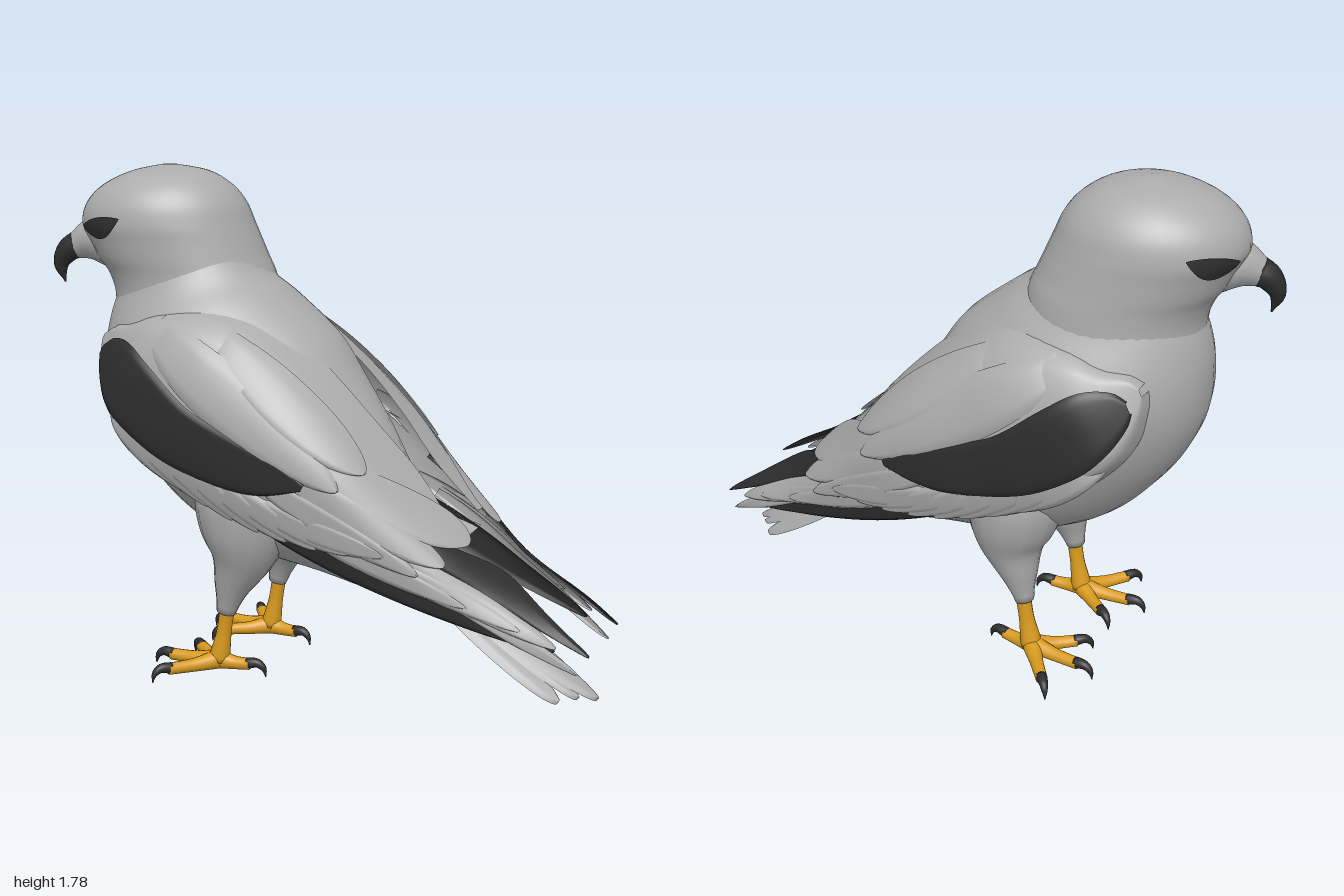
import * as THREE from 'three';

const mat = (name, color) => {
  const m = new THREE.MeshStandardMaterial({ color, side: THREE.DoubleSide });
  m.name = name;
  return m;
};
const V = (x, y, z) => new THREE.Vector3(x, y, z);

// Smooth interpolation through rows of numbers, s = 0..1
function rowAt(rows, s) {
  const n = rows.length - 1, k = Math.min(Math.max(s, 0), 1) * n;
  const i = Math.min(Math.floor(k), n - 1), f = k - i;
  const r = j => rows[Math.min(Math.max(j, 0), n)];
  return rows[0].map((_, c) => {
    const a = r(i - 1)[c], b = r(i)[c], d = r(i + 1)[c], e = r(i + 2)[c];
    return b + 0.5 * f * (d - a + f * (2 * a - 5 * b + 4 * d - e + f * (3 * (b - d) + e - a)));
  });
}

// Grid of points fn(s, t); wrapped grids are tubes with closed ends
function grid(name, material, ns, nt, fn, wrap = false) {
  const rows = [];
  for (let i = 0; i <= ns; i++) {
    const row = [];
    for (let j = 0; j < (wrap ? nt : nt + 1); j++) row.push(fn(i / ns, j / nt));
    rows.push(row);
  }
  if (wrap) {
    const cap = row => {
      const c = V(0, 0, 0);
      row.forEach(p => c.addScaledVector(p, 1 / row.length));
      return row.map(() => c);
    };
    rows.unshift(cap(rows[0]));
    rows.push(cap(rows[rows.length - 1]));
  }
  const w = rows[0].length, index = [];
  for (let i = 0; i < rows.length - 1; i++) {
    for (let j = 0; j < nt; j++) {
      const a = i * w + j, b = i * w + (j + 1) % w;
      index.push(a, b, a + w, b, b + w, a + w);
    }
  }
  const g = new THREE.BufferGeometry().setFromPoints(rows.flat());
  g.setIndex(index);
  g.computeVertexNormals();
  const mesh = new THREE.Mesh(g, material);
  mesh.name = name;
  return mesh;
}

// Point on a loft whose rows are [backX, backY, frontX, frontY, halfWidth]
function loftPoint(rows, s, angle, grow = 0) {
  const [bx, by, fx, fy, w] = rowAt(rows, s), c = Math.cos(angle);
  return V((bx + fx) / 2 + c * ((bx - fx) / 2 + grow), (by + fy) / 2 + c * (by - fy) / 2,
    (w + grow) * Math.sin(angle));
}
const loft = (name, material, rows) =>
  grid(name, material, 48, 40, (s, t) => loftPoint(rows, s, t * Math.PI * 2), true);

// Round tapering limb through points
function limb(name, material, points, radii, n = 14) {
  const curve = new THREE.CatmullRomCurve3(points.map(p => V(...p)));
  const frames = curve.computeFrenetFrames(n);
  return grid(name, material, n, 14, (s, t) => {
    const i = Math.round(s * n), r = rowAt(radii.map(q => [q]), s)[0], a = t * Math.PI * 2;
    return curve.getPointAt(s).addScaledVector(frames.normals[i], r * Math.cos(a))
      .addScaledVector(frames.binormals[i], r * Math.sin(a));
  }, true);
}

// Folded wing surface: u runs from shoulder to tip, v across towards the back.
// Rows are [half width, upper radius, v of the widest line]
const WING = [[.27, .38, 0], [.39, .42, .02], [.425, .45, .05], [.43, .38, .08], [.43, .31, .1],
  [.41, .24, .1], [.375, .2, .06], [.335, .18, .02], [.295, .17, -.02], [.255, .17, -.02],
  [.2, .2, -.02]];
function wingPoint(u, v, off, side) {
  const [w, r, mid] = rowAt(WING, (u + 0.1) / 2), d = v - mid;
  const z = w * Math.sqrt(Math.max(0.08, 1 - Math.abs(d / (d > 0 ? r : 0.52)) ** 2.4));
  return V(-0.7 + 0.877 * u + 0.48 * v, 1.1 - 0.48 * u + 0.877 * v, side * (z + off));
}
// Tail surface: u runs to the tip, v across
const tailPoint = (u, v, off) =>
  V(0.2 + 0.82 * u + 0.57 * off, 0.6 - 0.57 * u + 0.82 * off - 3 * v * v, v);

const edge = t => Math.abs(2 * t - 1) ** 12;

// Panel on the wing, rows are [u, vLow, vHigh]
function panel(name, material, rows, off, drop, side) {
  return grid(name, material, 40, 20, (s, t) => {
    const [u, lo, hi] = rowAt(rows, s);
    return wingPoint(u, lo + (hi - lo) * t, off - drop * edge(t), side);
  });
}

// Feather from [u0, v0] to [u1, v1], its root sunk into the surface; a lower blunt value rounds the tip
function feather(name, material, [u0, v0, u1, v1], width, off, surface, blunt = 0.6) {
  const len = Math.hypot(u1 - u0, v1 - v0), du = (u1 - u0) / len, dv = (v1 - v0) / len;
  return grid(name, material, 32, 8, (q, t) => {
    const s = Math.sin(q * Math.PI / 2);
    const w = width * Math.pow(Math.max(0, Math.sin(Math.PI * (0.1 + 0.9 * s))), blunt) * (2 * t - 1);
    return surface(u0 + du * len * s - dv * w, v0 + dv * len * s + du * w,
      off - 0.012 * edge(t) - 0.035 * (1 - s) ** 8);
  });
}

export function createModel() {
  const grey = mat('greyPlumage', 0xacacac);
  const dark = mat('darkPlumage', 0x2d2d2d);
  const yellow = mat('yellowSkin', 0xd89a1e);
  const model = new THREE.Group();
  model.name = 'perchedRaptor';

  // Body from neck to rump
  model.add(loft('body', grey, [
    [-.32, 1.56, -.74, 1.44, .2], [-.25, 1.43, -.82, 1.27, .26], [-.14, 1.345, -.84, 1.1, .33],
    [.02, 1.21, -.81, .94, .36], [.12, 1.07, -.71, .76, .35], [.22, .92, -.53, .57, .31],
    [.32, .75, -.26, .43, .24], [.45, .54, 0, .38, .18], [.62, .37, .3, .31, .12],
    [.74, .24, .64, .22, .04]]));

  // Head, turned a little to its own left
  const head = new THREE.Group();
  head.name = 'head';
  head.position.x = -0.55;
  head.rotation.y = 0.32;
  const headRows = [[.31, 1.2, -.27, 1.2, .27], [.33, 1.32, -.255, 1.32, .255],
    [.32, 1.4, -.275, 1.4, .25], [.295, 1.46, -.315, 1.46, .25], [.27, 1.52, -.345, 1.52, .25],
    [.245, 1.58, -.37, 1.58, .25], [.215, 1.65, -.35, 1.65, .235], [.165, 1.71, -.29, 1.71, .195],
    [.085, 1.757, -.19, 1.757, .125], [-.03, 1.78, -.08, 1.78, .02]];
  head.add(loft('skull', grey, headRows));
  head.add(limb('beakBase', grey, [[-.23, 1.52, 0], [-.34, 1.512, 0], [-.42, 1.483, 0]], [.12, .085, .042]));
  head.add(limb('beakHook', dark,
    [[-.395, 1.495, 0], [-.43, 1.475, 0], [-.46, 1.425, 0], [-.447, 1.36, 0]], [.049, .04, .024, .003]));
  for (const side of [1, -1]) {
    // Eye patch: straight brow above, rounded below, rising to the back
    head.add(grid('eyePatch', dark, 20, 8, (s, t) => {
      const h = 1.15 * Math.sin(Math.PI * s) ** 0.8, mid = 4.85 + 0.5 * s;
      return loftPoint(headRows, (mid + h * (t - 0.78)) / 9, side * (2.68 - 0.72 * s), 0.006);
    }));
  }
  model.add(head);

  for (const side of [1, -1]) {
    // Folded wing
    const wing = new THREE.Group();
    wing.name = side > 0 ? 'leftWing' : 'rightWing';
    const onWing = (u, v, off) => wingPoint(u, v, off, side);
    const add = (name, m, line, width, off) => wing.add(feather(name, m, line, width, off, onWing));
    wing.add(panel('wingBase', grey, [[-.07, .06, .09], [-.045, 0, .14], [.02, -.08, .2],
      [.1, -.135, .29], [.25, -.18, .39], [.45, -.19, .42], [.66, -.17, .385], [.88, -.11, .32],
      [1.1, -.045, .24], [1.3, .02, .165]], 0, .1, side));
    wing.add(panel('shoulderPatch', dark, [[-.035, .03, .07], [0, -.015, .12], [.08, -.065, .155],
      [.2, -.1, .145], [.4, -.11, .11], [.6, -.065, .125], [.75, 0, .145], [.87, .1, .125]],
      .022, .01, side));
    // Coverts along the lower edge
    for (let i = 0; i < 8; i++) {
      const tip = 0.5 + 0.1 * i;
      add('covert', grey, [tip - .38, -.1 + .009 * i, tip, -.165 + .0044 * i * i], .05, .008 + .0015 * i);
    }
    // Scapulars lying over the back
    add('scapular', grey, [.12, .24, .97, .16], .1, .022);
    add('scapular', grey, [.35, .34, 1.0, .23], .07, .024);
    // Tertials
    add('tertial', grey, [.7, .2, 1.38, .16], .055, .014);
    add('tertial', grey, [.7, .12, 1.37, .105], .06, .016);
    add('tertial', grey, [.7, .04, 1.32, .05], .055, .018);
    // Long flight feathers, pale above with dark tips and lower edge
    add('flightFeather', grey, [.85, -.03, 1.5, .035], .045, .01);
    add('flightFeather', grey, [.9, 0, 1.68, .055], .045, .008);
    add('flightFeather', grey, [1, .04, 1.8, .06], .045, .006);
    add('flightFeather', grey, [1.1, .045, 1.9, .018], .032, -.004);
    add('darkFlightFeather', dark, [1, .14, 1.9, .087], .028, .004);
    add('darkFlightFeather', dark, [.7, -.125, 1.73, .025], .045, -.006);
    add('darkUnderFeather', dark, [.72, -.09, 1.8, .04], .06, -.022);
    model.add(wing);

    // Leg, foot and claws
    const leg = new THREE.Group();
    leg.name = side > 0 ? 'leftLeg' : 'rightLeg';
    const z = q => side * q;
    leg.add(limb('thigh', grey, [[-.25, .82, z(.14)], [-.24, .62, z(.16)], [-.24, .45, z(.18)],
      [-.275, .33, z(.195)], [-.3, .23, z(.2)]], [.08, .17, .155, .085, .034], 24));
    leg.add(limb('shank', yellow, [[-.29, .27, z(.2)], [-.31, .15, z(.2)], [-.33, .05, z(.2)]],
      [.028, .027, .038]));
    for (const [x, tz] of [[-.52, .215], [-.45, .35], [-.46, .1], [-.215, .185]]) {
      const dx = x + .33, dz = tz - .2, l = Math.hypot(dx, dz), ex = dx / l, ez = dz / l;
      leg.add(limb('toe', yellow, [[-.33, .05, z(.2)], [-.33 + dx * .5, .043, z(.2 + dz * .5)],
        [x, .044, z(tz)]], [.034, .024, .021]));
      leg.add(limb('claw', dark, [[x - ex * .01, .046, z(tz - ez * .01)],
        [x + ex * .03, .05, z(tz + ez * .03)], [x + ex * .053, .032, z(tz + ez * .053)],
        [x + ex * .06, .003, z(tz + ez * .06)]], [.02, .017, .011, .002], 10));
    }
    model.add(leg);
  }

  // Tail fan, the broadest and longest feather in the middle
  const tail = new THREE.Group();
  tail.name = 'tail';
  for (const i of [-2, -1, 1, 2, 0]) {
    const a = Math.abs(i);
    tail.add(feather('tailFeather', grey, [.05, i * .02, .965 - .055 * a, i * .052], a ? .062 : .095,
      .014 - .012 * a, tailPoint, 0.5));
  }
  model.add(tail);
  return model;
}
